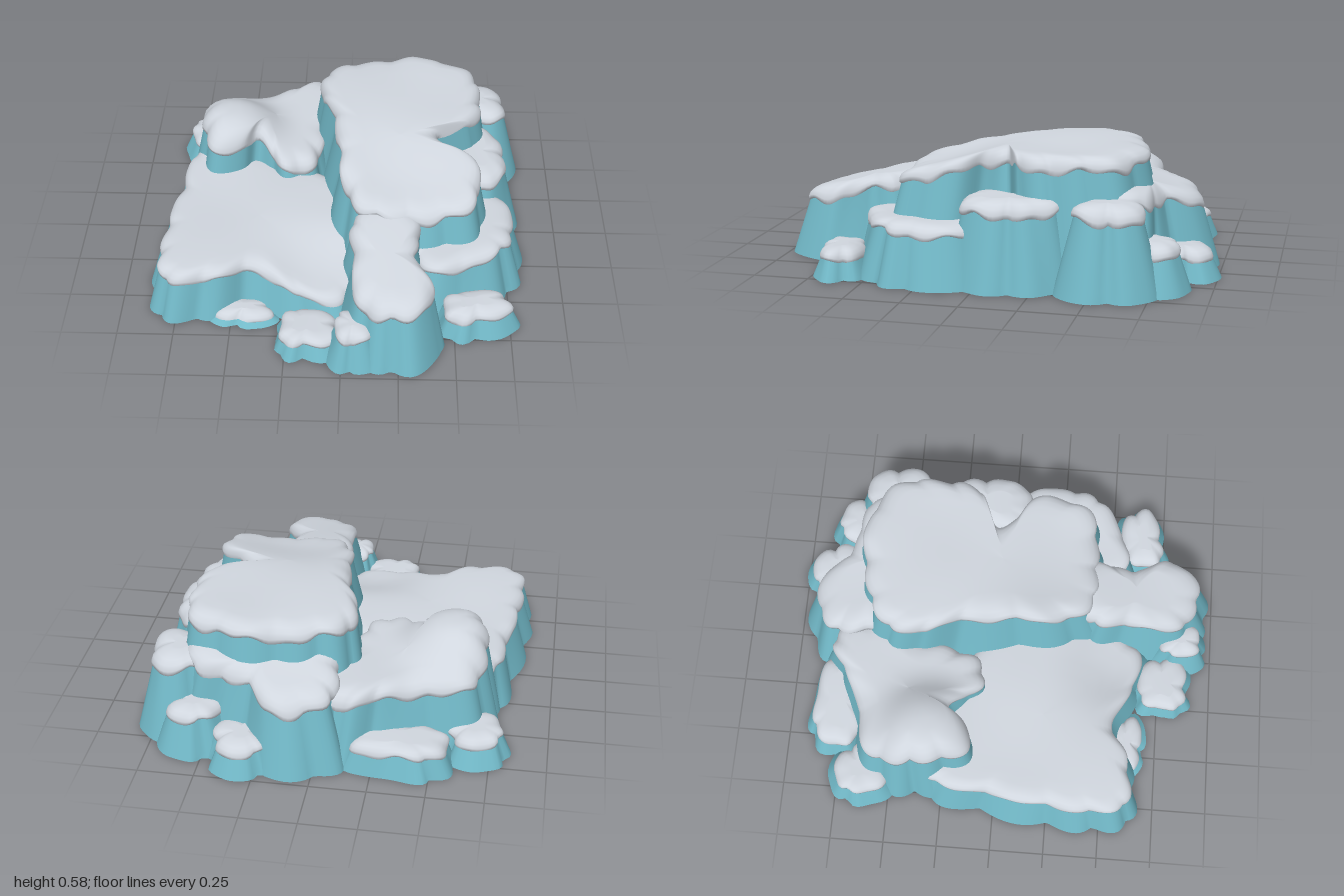
import * as THREE from 'three';

const ice = new THREE.MeshStandardMaterial({ color: 0x72b9c8, side: THREE.DoubleSide });
ice.name = 'glacier blue';
const snow = new THREE.MeshStandardMaterial({ color: 0xd0d6de, side: THREE.DoubleSide });
snow.name = 'snow white';

// Closed smooth outline through a few x,z corners
function outline(...xz) {
  const corners = [];
  for (let i = 0; i < xz.length; i += 2) corners.push(new THREE.Vector3(xz[i], 0, xz[i + 1]));
  return new THREE.CatmullRomCurve3(corners, true, 'centripetal');
}

// Closed outline of a rounded, slightly uneven block
function blob(x, z, rx, rz, turn) {
  const corners = [];
  for (let i = 0; i < 12; i++) {
    const a = i / 12 * Math.PI * 2, c = Math.cos(a), s = Math.sin(a);
    const r = (1 + 0.06 * Math.sin(3 * a + turn)) / (c ** 4 + s ** 4) ** 0.25;
    corners.push(new THREE.Vector3(c * r * rx, 0, s * r * rz)
      .applyAxisAngle(THREE.Object3D.DEFAULT_UP, turn).add(new THREE.Vector3(x, 0, z)));
  }
  return new THREE.CatmullRomCurve3(corners, true, 'centripetal');
}

// Skin a stack of equal-length rings, bottom to top, leaving out buried faces
function loft(rings, material, name, buried) {
  const n = rings[0].length, points = rings.flat(), quads = [];
  for (let k = 0; k < rings.length - 1; k++) {
    for (let j = 0; j < n; j++) {
      const a = k * n + j, b = k * n + (j + 1) % n;
      quads.push([a, b, b + n, a + n]);
    }
  }
  const triangles = list => list.flatMap(([a, b, c, d]) => [a, b, c, a, c, d]);
  const geometry = new THREE.BufferGeometry().setFromPoints(points);
  geometry.setIndex(triangles(quads));
  geometry.computeVertexNormals();
  const hidden = points.map(buried);
  geometry.setIndex(triangles(quads.filter(q => !q.every(i => hidden[i]))));
  const mesh = new THREE.Mesh(geometry, material);
  mesh.name = name;
  return mesh;
}

// Plan of one block: h is the height, slope its change along z, lip the snow
// thickness, bumps are [x, z, amount, radius], center the middle of the rings
function planTier(name, curve, { h, slope = 0, bumps = [], lip = 0.07, center }) {
  const length = curve.getLength();
  const count = Math.max(40, Math.round(length / 0.018));
  const edge = curve.getSpacedPoints(count).slice(0, count);
  // Counter-clockwise seen from above
  if (THREE.ShapeUtils.area(edge.map(p => new THREE.Vector2(p.x, -p.z))) < 0) edge.reverse();
  const mid = center ?? edge.reduce((m, p) => m.addScaledVector(p, 1 / count), new THREE.Vector3());

  const height = (x, z) => bumps.reduce(
    (y, [bx, bz, amount, r]) => y + amount * Math.exp(-((Math.hypot(x - bx, z - bz) / r) ** 3)),
    h + slope * z + 0.006 * Math.sin(9 * x + 4) * Math.sin(8 * z + 1));
  const contains = (x, z) => edge.reduce((inside, p, j) => {
    const q = edge[(j + 1) % count];
    const crosses = (p.z > z) !== (q.z > z) && x < p.x + (q.x - p.x) * (z - p.z) / (q.z - p.z);
    return crosses ? !inside : inside;
  }, false);
  const flare = 0.02 + 0.17 * (h + slope * mid.z);
  return { name, length, edge, mid, height, contains, lip, flare };
}

// One ice block with its snow cap
function buildTier({ name, length, edge, mid, height, lip, flare }, buried) {
  const lobes = Math.max(3, Math.round(length / 0.2));
  const flute = j => {
    const u = j / edge.length;
    return Math.abs(Math.sin(Math.PI * (lobes * u + 0.3 * Math.sin(6 * Math.PI * u)))) - 0.6;
  };
  const drip = j => lip * (1 + 0.2 * Math.sin(j * 0.31) + 0.14 * Math.sin(j * 0.73 + 1));

  // Ring moved outward by a distance, then scaled to the middle
  const ring = (out, scale, yOf) => edge.map((p, j) => {
    const v = p.clone().sub(mid), r = v.length();
    v.multiplyScalar(scale * Math.max(0.02, r + out(j)) / r).add(mid);
    v.y = yOf(v, p, j);
    return v;
  });

  // Flared, fluted ice wall
  const walls = [];
  for (let t = 0; t <= 1; t += 0.125) {
    walls.push(ring(j => (1 - t) * flare + flute(j) * (0.036 - 0.014 * t) - 0.004 * t, 1,
      (v, p) => Math.max(height(p.x, p.z) - lip * 0.5, 0.01) * t));
  }

  // Rounded snow cap with a dripping lip: outward distance and drop of each ring
  const profile = [[-0.006, 1.08], [0.013, 0.98], [0.014, 0.72], [0.004, 0.42], [-0.018, 0.2], [-0.045, 0.07], [-0.08, 0]];
  const cap = profile.map(([d, drop]) => ring(j => d * lip / 0.07 + flute(j) * 0.022, 1,
    (v, p, j) => Math.max(0.004, height(v.x, v.z) - drop * drip(j))));
  for (const s of [0.85, 0.68, 0.5, 0.32, 0.15, 0]) {
    cap.push(ring(() => -0.08 * lip / 0.07, s, v => height(v.x, v.z)));
  }

  const tier = new THREE.Group();
  tier.name = name;
  tier.add(loft(walls, ice, name + 'IceWall', buried), loft(cap, snow, name + 'SnowCap', buried));
  return tier;
}

export function createModel() {
  const plans = [];
  const add = (name, curve, options) => plans.push(planTier(name, curve, options));

  // High plateau running down into the front spur
  add('highPlateau', outline(-.09, -.54, .12, -.64, .38, -.66, .58, -.56, .62, -.36, .59, -.17, .4, -.06,
    .46, .01, .58, .1, .57, .34, .35, .4, .08, .37, 0, .2, -.02, 0, -.05, -.2, -.12, -.4),
  { h: 0.572, bumps: [[.3, .5, -.12, .45]], center: new THREE.Vector3(.25, 0, -.03) });
  add('frontKnob', outline(.05, .4, .18, .3, .33, .4, .31, .6, .4, .76, .29, .89, .09, .83, .06, .6),
    { h: 0.5, slope: -0.21 });
  add('backKnobLedge', outline(-.69, -.4, -.64, -.58, -.35, -.67, -.13, -.79, -.03, -.7, -.12, -.35, -.17, -.13,
    -.3, -.1, -.42, -.25, -.5, -.15, -.62, -.14), { h: 0.34, bumps: [[-.56, -.31, .13, .22]] });

  // Broad terrace, dipping at its front inner corner
  add('sideTerrace', outline(-.785, .6, -.55, .59, -.39, .52, -.2, .62, 0, .63, .05, 0, -.3, -.2, -.7, -.32, -.775, 0),
    { h: 0.245, lip: 0.055, bumps: [[0, .62, -.09, .3]] });

  // Middle ledges
  add('backLedge', outline(-.06, -.8, .1, -.89, .2, -.86, .31, -.75, .55, -.69, .57, -.55, 0, -.5), { h: 0.6, slope: 0.28 });
  add('lowerLedge', outline(.55, -.03, .73, .08, .74, .35, .61, .49, .42, .56, .3, .4), { h: 0.275, lip: 0.055 });
  add('middleLedge', blob(.61, -.13, .12, .21, 0), { h: 0.39 });
  add('backCornerLedge', blob(.64, -.56, .11, .13, 0), { h: 0.395 });

  // Low steps around the foot
  add('frontCornerStep', blob(.59, .64, .14, .08, .2), { h: 0.135, lip: 0.055 });
  add('frontStep', blob(-.15, .77, .12, .1, 0), { h: 0.1, lip: 0.045 });
  add('frontNub', blob(.05, .84, .06, .08, .2), { h: 0.19, lip: 0.05 });
  add('frontDrift', blob(-.44, .61, .11, .06, 0), { h: 0.055, lip: 0.05 });
  add('backStep', blob(.32, -.84, .1, .11, .2), { h: 0.145, lip: 0.055 });
  add('backNub', blob(.55, -.74, .1, .09, -.3), { h: 0.215, lip: 0.055 });
  add('backSideStep', blob(-.68, -.63, .1, .1, .4), { h: 0.14, lip: 0.05 });
  add('backLongStep', blob(-.36, -.77, .21, .1, .05), { h: 0.14, lip: 0.05 });

  // Only faces outside the other blocks are kept, so the shell is hollow below
  const model = new THREE.Group();
  model.name = 'snowyIceFormation';
  for (const plan of plans) {
    const buried = v => plans.some(other => other !== plan
      && other.height(v.x, v.z) - 0.03 > v.y && other.contains(v.x, v.z));
    model.add(buildTier(plan, buried));
  }
  return model;
}
